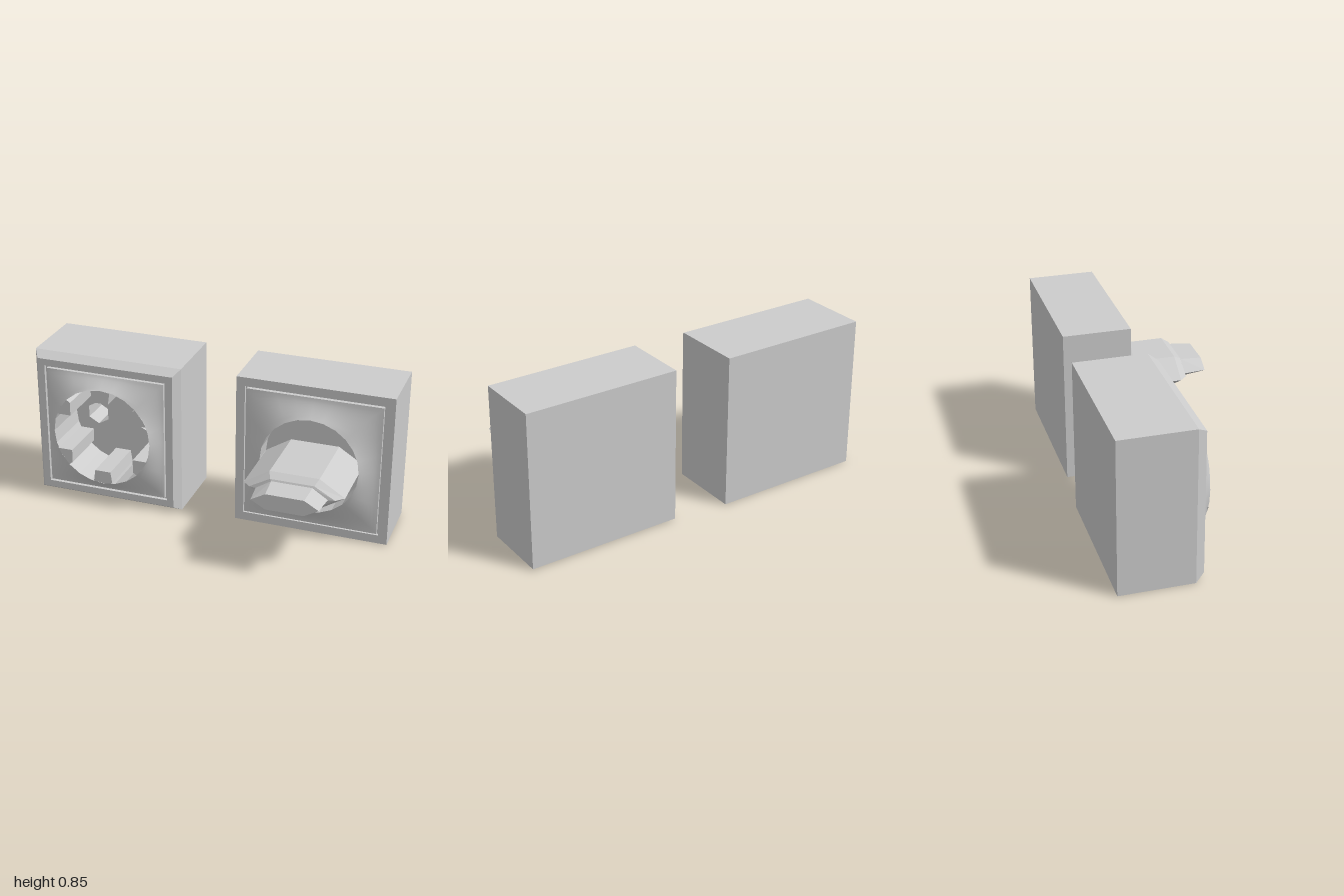
import * as THREE from 'three';

const material = new THREE.MeshStandardMaterial({ color: 0xcccccc, side: THREE.DoubleSide });
const flatMaterial = new THREE.MeshStandardMaterial({ color: 0xcccccc, side: THREE.DoubleSide, flatShading: true });

function add(parent, name, geometry, mat = flatMaterial) {
  const mesh = new THREE.Mesh(geometry, mat);
  mesh.name = name;
  parent.add(mesh);
  return mesh;
}

// Skin over rings of equal point count, listed back to front, then inwards
function loft(rings) {
  const n = rings[0].length;
  const index = [];
  for (let r = 0; r < rings.length - 1; r++) {
    for (let i = 0; i < n; i++) {
      const a = r * n + i, b = r * n + (i + 1) % n;
      index.push(a, b, b + n, a, b + n, a + n);
    }
  }
  const geometry = new THREE.BufferGeometry();
  geometry.setAttribute('position', new THREE.Float32BufferAttribute(rings.flat(2), 3));
  geometry.setIndex(index);
  geometry.computeVertexNormals();
  return geometry;
}

const square = (h, z) => [[h, -h, z], [h, h, z], [-h, h, z], [-h, -h, z]];
const hexagon = (outer, inner, height, z) => [
  [outer, 0, z], [inner, height, z], [-inner, height, z],
  [-outer, 0, z], [-inner, -height, z], [inner, -height, z]];

const SIDES = 24;
const angles = Array.from({ length: SIDES }, (_, i) => (i / SIDES) * Math.PI * 2);
const circle = (radius, z) => angles.map(a => [radius * Math.cos(a), radius * Math.sin(a), z]);

// Cover that sweeps up from a square edge to a round rim
function swellingCover(half, radius, z0, z1, power) {
  const rings = [];
  const steps = 8;
  for (let s = 0; s <= steps; s++) {
    const t = s / steps;
    rings.push(angles.map(a => {
      const c = Math.cos(a), n = Math.sin(a);
      const edge = half / Math.max(Math.abs(c), Math.abs(n));
      const r = edge + (radius - edge) * t;
      return [r * c, r * n, z0 + (z1 - z0) * Math.pow(t, power)];
    }));
  }
  return loft(rings);
}

function makeSocket() {
  const socket = new THREE.Group();
  socket.name = 'socketUnit';
  const rim = 0.06, floorZ = -0.23, R = 0.28;

  // Bevelled housing with a narrow groove around the cover
  add(socket, 'socketHousing', loft([
    square(0, -0.445), square(0.4225, -0.445), square(0.4225, -0.05),
    square(0.39, 0), square(0.352, 0), square(0.352, -0.02),
    square(0.34, -0.02), square(0.34, 0)]));
  add(socket, 'socketCover', swellingCover(0.34, R, 0, rim, 1.3), material);
  add(socket, 'cupWall', loft([circle(R, rim), circle(R, floorZ)]));

  // Cup floor with two hexagonal pin holes
  const floor = new THREE.Shape(angles.map(a => new THREE.Vector2(R * Math.cos(a), R * Math.sin(a))));
  for (const side of [-1, 1]) {
    const hole = [];
    for (let i = 0; i < 6; i++) {
      const a = Math.PI / 6 + i * Math.PI / 3;
      hole.push(new THREE.Vector2(side * 0.145 + 0.067 * Math.cos(a), 0.067 * Math.sin(a)));
    }
    floor.holes.push(new THREE.Path(hole));
    const ring = z => hole.map(p => [p.x, p.y, z]);
    const end = hole.map(() => [side * 0.145, 0, -0.4]);
    add(socket, 'pinHole', loft([ring(floorZ), ring(-0.4), end]));
  }
  add(socket, 'cupFloor', new THREE.ShapeGeometry(floor)).position.z = floorZ;

  // Four guide ribs at the sides, two earth clips at top and bottom
  const options = { depth: rim - floorZ, bevelEnabled: false };
  for (const sx of [-1, 1]) {
    for (const sy of [-1, 1]) {
      const points = [[0.262, 0.105], [0.242, 0.14], [0.2, 0.195], [0.18, 0.18], [0.18, 0.105]]
        .map(([x, y]) => new THREE.Vector2(sx * x, sy * y));
      add(socket, 'guideRib', new THREE.ExtrudeGeometry(new THREE.Shape(points), options)).position.z = floorZ;
    }
  }
  for (const sy of [-1, 1]) {
    const points = [[-0.055, 0.272], [-0.045, 0.205], [0.045, 0.205], [0.055, 0.272], [0, 0.279]]
      .map(([x, y]) => new THREE.Vector2(x, sy * y));
    add(socket, 'earthClip', new THREE.ExtrudeGeometry(new THREE.Shape(points), options)).position.z = floorZ;
  }
  return socket;
}

function makeSwitch() {
  const unit = new THREE.Group();
  unit.name = 'rotarySwitchUnit';
  const R = 0.267, rim = 0.015, floorZ = -0.1;

  // Square housing with a narrow groove around the cover
  add(unit, 'switchHousing', loft([
    square(0, -0.42), square(0.4225, -0.42), square(0.4225, -0.053),
    square(0.375, -0.053), square(0.375, -0.07), square(0.365, -0.07), square(0.365, -0.048)]));
  add(unit, 'switchCover', swellingCover(0.365, R, -0.048, rim, 1.6), material);
  add(unit, 'switchRecess', loft([circle(R, rim), circle(R, floorZ), circle(0, floorZ)]));

  // Six-sided knob with a bevelled shoulder and a slimmer tapered tip
  add(unit, 'knob', loft([
    hexagon(0.265, 0.13, 0.085, floorZ), hexagon(0.265, 0.13, 0.085, 0.28),
    hexagon(0.225, 0.115, 0.062, 0.32), hexagon(0.188, 0.107, 0.053, 0.325),
    hexagon(0.175, 0.1, 0.043, 0.447), hexagon(0, 0, 0, 0.447)]));
  return unit;
}

export function createModel() {
  const model = new THREE.Group();
  model.name = 'socketAndSwitch';
  const socket = makeSocket();
  socket.position.set(-0.5775, 0.4235, 0);
  const rotarySwitch = makeSwitch();
  rotarySwitch.position.set(0.5745, 0.4285, 0);
  model.add(socket, rotarySwitch);
  return model;
}
